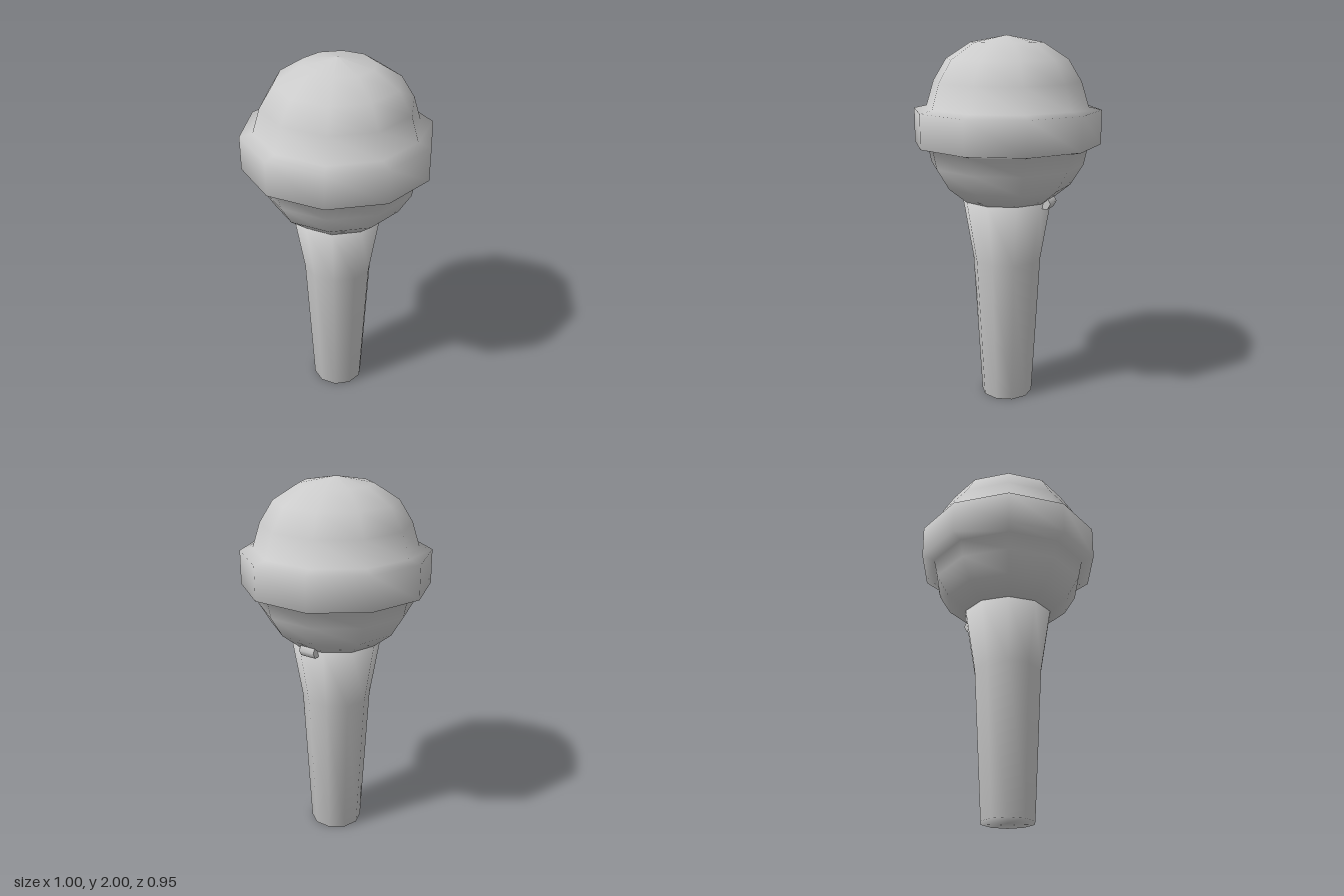
import * as THREE from 'three';

const SIDES = 10;

export function createModel() {
  const group = new THREE.Group();
  const material = new THREE.MeshStandardMaterial({ color: 0xcccccc });

  const add = (name, geometry) => {
    const mesh = new THREE.Mesh(geometry, material);
    mesh.name = name;
    group.add(mesh);
    return mesh;
  };

  // Ten-sided turned part with a corner on the x axis
  const turned = (name, profile) =>
    add(name, new THREE.LatheGeometry(
      profile.map(([r, y]) => new THREE.Vector2(r, y)), SIDES, Math.PI / 2));

  // Tapered handle, closed at the foot
  turned('handle', [[0, 0], [0.142, 0], [0.186, 0.8], [0.244, 1.145], [0, 1.145]]);

  // Rounded head with the wide band around its middle
  turned('head', [
    [0, 1.14], [0.246, 1.14], [0.345, 1.22], [0.412, 1.33], [0.432, 1.423],
    [0.5, 1.44], [0.5, 1.62], [0.432, 1.635],
    [0.392, 1.765], [0.322, 1.88], [0.19, 1.964], [0, 2],
  ]);

  // Small switch on the back, just under the head
  const button = add('switch', new THREE.CylinderGeometry(0.036, 0.036, 0.09, 6));
  button.rotation.z = Math.PI / 2;
  button.position.set(0, 1.137, -0.237);

  return group;
}
